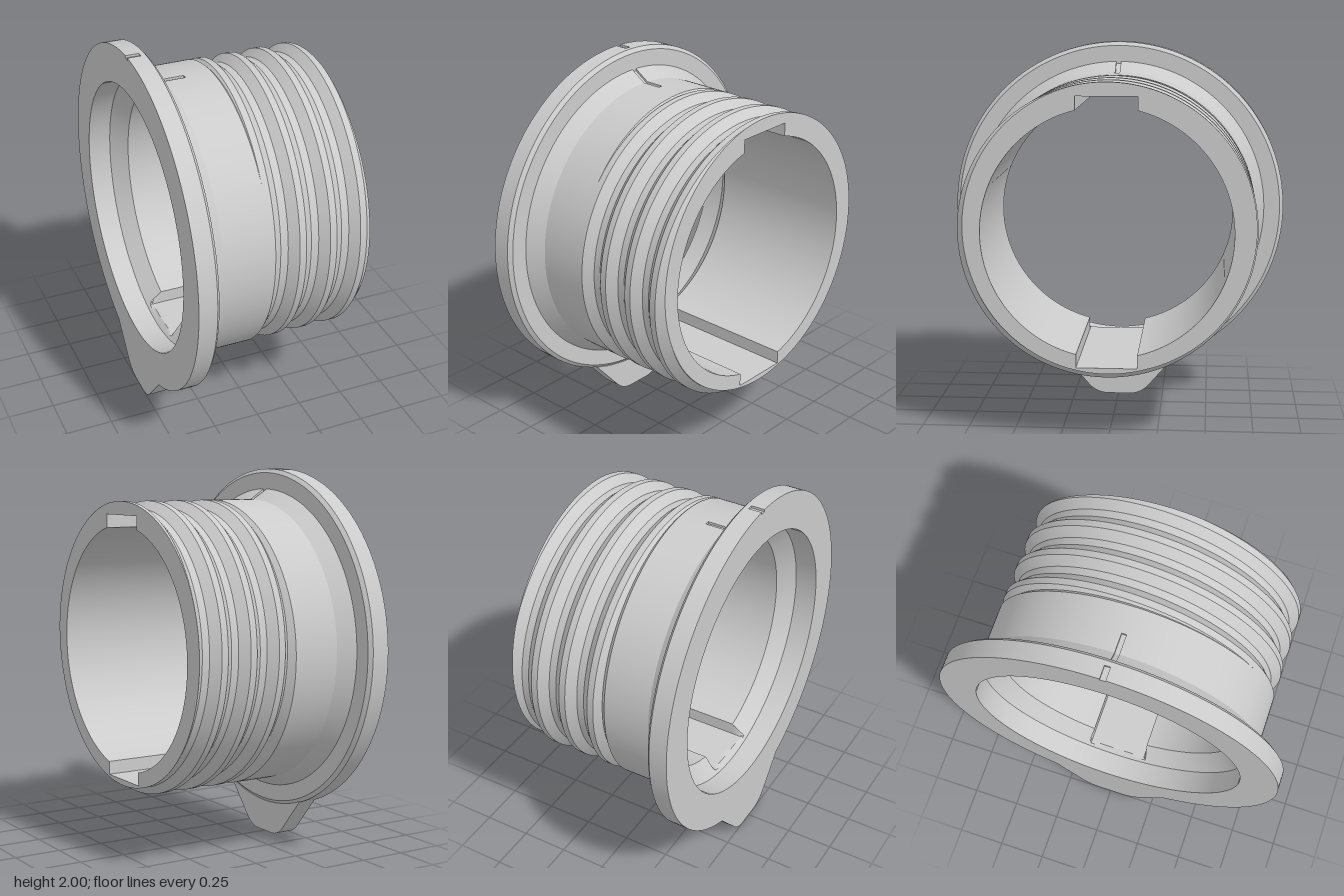
import * as THREE from 'three';
import { toCreasedNormals } from 'three/addons/utils/BufferGeometryUtils.js';

const CY = 1.085;                 // height of the sleeve axis, which runs along x
const BODY = 0.755, BORE = 0.635, COUNTERBORE = 0.715, RIM = 0.915;
const PITCH = 0.165, DEPTH = 0.04, T0 = -0.055, T1 = 0.495;
const clamp = THREE.MathUtils.clamp;

// Points [x, r] of the helical thread at one angle
function threadPoints(a) {
  const centres = [], xs = [T0, T0 + 0.04, T1];
  for (let k = -1; k <= 4; k++) {
    const c = 0.07 + PITCH * (k - a / (2 * Math.PI));
    centres.push(c);
    // groove corners, and where the groove runs out into the plain body
    xs.push(c - 0.065, c - 0.02, c + 0.02, c + 0.065, (0.04 * c + 0.000125) / 0.085);
  }
  return xs.map(x => clamp(x, T0, T1)).sort((p, q) => p - q).map(x => {
    let d = 0;
    for (const c of centres) d = Math.max(d, clamp((0.065 - Math.abs(x - c)) / 0.045, 0, 1));
    return [x, BODY - DEPTH * Math.min(d, clamp((x - T0) / 0.04, 0, 1))];
  });
}

// Bore radius at one angle, widened by the square slots at top and bottom
function boreRadius(a, r) {
  const c = Math.max(Math.abs(Math.cos(a)), 1e-6), s = Math.max(Math.abs(Math.sin(a)), 1e-6);
  return Math.max(r, Math.min(0.685 / c, 0.155 / s));
}

// Closed section of the sleeve at one angle: outside, end face, bore
function section(a) {
  const mark = Math.min(a, 2 * Math.PI - a) < 0.01605 ? 0.012 : 0;   // shallow index grooves
  const pts = [
    [-0.5, COUNTERBORE], [-0.5, RIM - mark], [-0.43, RIM - mark], [-0.43, RIM],
    [-0.405, RIM], [-0.388, 0.895], [-0.388, 0.808 - mark], [-0.305, BODY - mark],
    [-0.2, BODY - mark], [-0.2, BODY],
    ...threadPoints(a),
    [T1, boreRadius(a, BORE)]
  ];
  for (let i = 0; i <= 6; i++) {
    const t = i / 6;
    pts.push([-0.3 - 0.08 * t, boreRadius(a, BORE + (COUNTERBORE - BORE) * t)]);
  }
  pts.push([-0.5, COUNTERBORE]);
  return pts;
}

// Sweep the section around the axis
function sleeveGeometry() {
  const angles = [];
  for (let i = 0; i <= 180; i++) angles.push(i / 180 * 2 * Math.PI);
  const slotIn = Math.atan(0.155 / 0.685), slotOut = Math.asin(0.155 / BORE);
  for (const b of [0, Math.PI, 2 * Math.PI])
    for (const s of [-1, 1])
      for (const e of [0.016, 0.0161, slotIn, slotOut]) {
        const a = b + s * e;
        if (a > 0 && a < 2 * Math.PI) angles.push(a);
      }
  angles.sort((p, q) => p - q);
  const rings = angles.map(a => section(a).map(([x, r]) =>
    new THREE.Vector3(x, CY + r * Math.cos(a), r * Math.sin(a))));
  const pos = [], u = new THREE.Vector3(), v = new THREE.Vector3();
  const tri = (a, b, c) => {
    if (u.subVectors(b, a).cross(v.subVectors(c, a)).length() < 1e-9) return;
    for (const p of [a, b, c]) pos.push(p.x, p.y, p.z);
  };
  for (let i = 0; i + 1 < rings.length; i++) {
    const p = rings[i], q = rings[i + 1];
    for (let j = 0; j + 1 < p.length; j++) {
      tri(p[j], q[j], p[j + 1]);
      tri(q[j], q[j + 1], p[j + 1]);
    }
  }
  const g = new THREE.BufferGeometry();
  g.setAttribute('position', new THREE.Float32BufferAttribute(pos, 3));
  return toCreasedNormals(g, 0.35);
}

// Rounded pull tab that continues the flange downward
function tabGeometry() {
  const r = 0.912, half = Math.asin(0.33 / r);
  const s = new THREE.Shape();
  s.moveTo(0.33, CY - r * Math.cos(half));
  s.lineTo(0.17, 0.05);
  s.quadraticCurveTo(0.125, 0, 0.06, 0);
  s.lineTo(-0.06, 0);
  s.quadraticCurveTo(-0.125, 0, -0.17, 0.05);
  s.lineTo(-0.33, CY - r * Math.cos(half));
  s.absarc(0, CY, r, -Math.PI / 2 - half, -Math.PI / 2 + half, false);
  const g = new THREE.ExtrudeGeometry(s, { depth: 0.102, bevelEnabled: false, curveSegments: 16 });
  g.rotateY(Math.PI / 2).translate(-0.5, 0, 0);
  return toCreasedNormals(g, 0.4);
}

export function createModel() {
  const group = new THREE.Group();
  group.name = 'threadedFlangeSleeve';
  const material = new THREE.MeshStandardMaterial({ color: 0xcccccc });
  const add = (name, geometry) => {
    const mesh = new THREE.Mesh(geometry, material);
    mesh.name = name;
    group.add(mesh);
  };
  add('threadedSleeve', sleeveGeometry());
  add('flangeTab', tabGeometry());
  return group;
}
